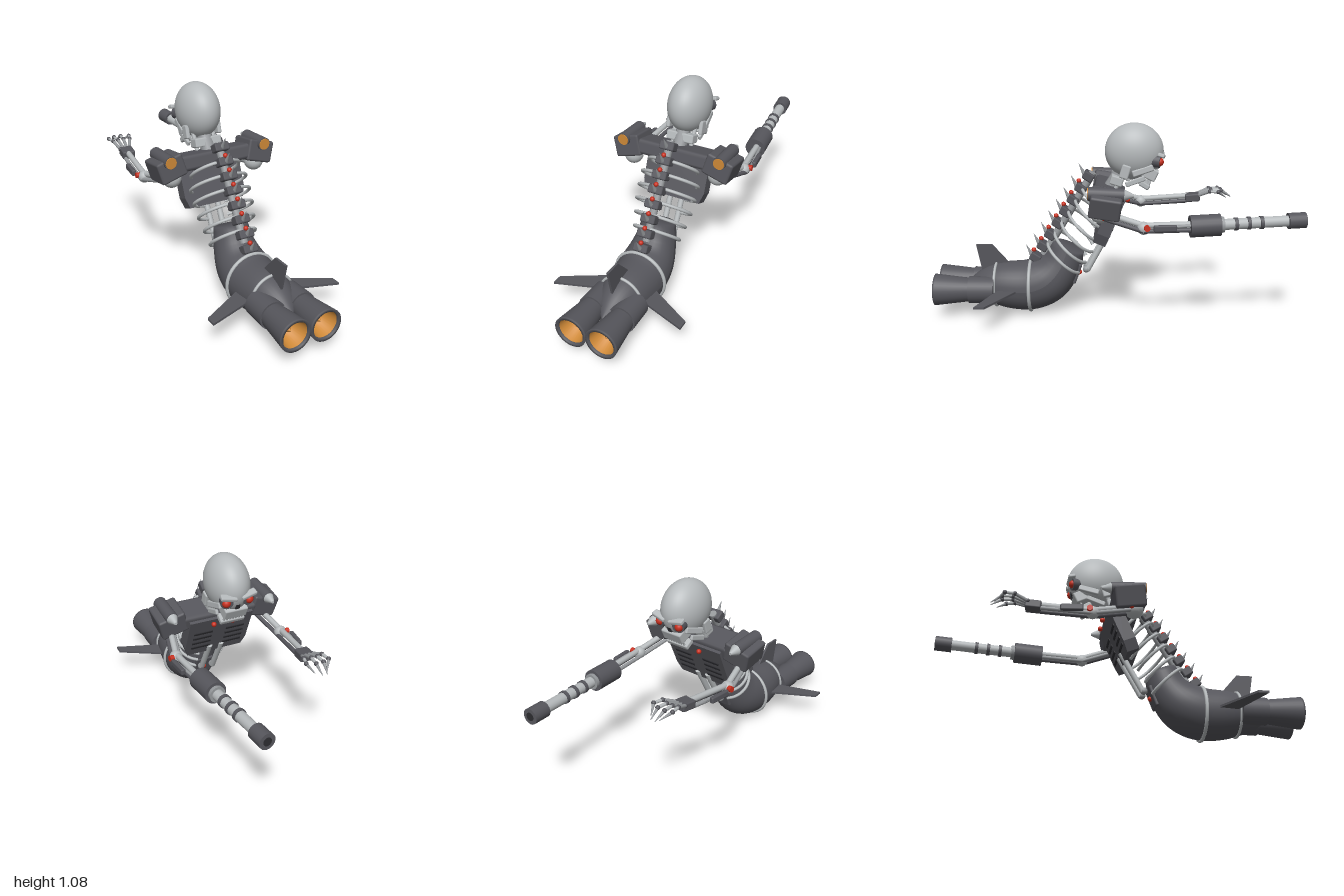
import * as THREE from 'three';
import { RoundedBoxGeometry } from 'three/addons/geometries/RoundedBoxGeometry.js';

const mat = (name, color, side = THREE.FrontSide) => {
  const m = new THREE.MeshStandardMaterial({ color, side });
  m.name = name;
  return m;
};
const V = (x, y, z) => new THREE.Vector3(x, y, z);

export function createModel() {
  const dark = mat('dark armour', 0x56565c, THREE.DoubleSide);
  const bone = mat('light metal', 0xb6babc);
  const steel = mat('steel', 0x96999c);
  const black = mat('black recess', 0x2c2c30);
  const red = mat('red light', 0xc8301f);
  const orange = mat('orange glow', 0xd08a38, THREE.DoubleSide);
  const model = new THREE.Group();
  model.name = 'flyingSkeletonRobot';

  const add = (parent, name, geo, m, pos = [0, 0, 0], rot = [0, 0, 0]) => {
    const mesh = new THREE.Mesh(geo, m);
    mesh.name = name;
    mesh.position.set(...pos);
    mesh.rotation.set(...rot);
    parent.add(mesh);
    return mesh;
  };
  const box = (p, name, m, w, h, d, pos, rot, r = 0.008) =>
    add(p, name, new RoundedBoxGeometry(w, h, d, 1, Math.min(r, w / 3, h / 3, d / 3)), m, pos, rot);
  const ball = (p, name, m, r, pos) => add(p, name, new THREE.SphereGeometry(r, 20, 14), m, pos);
  // Tapered rod between two points, r1 at the start and r2 at the end
  const rod = (p, name, m, a, b, r1, r2 = r1, seg = 12) => {
    const dir = b.clone().sub(a);
    const mesh = add(p, name, new THREE.CylinderGeometry(r2, r1, dir.length(), seg), m);
    mesh.position.copy(a).addScaledVector(dir, 0.5);
    mesh.quaternion.setFromUnitVectors(V(0, 1, 0), dir.normalize());
    return mesh;
  };
  const tube = (p, name, m, pts, r, n = 32) =>
    add(p, name, new THREE.TubeGeometry(new THREE.CatmullRomCurve3(pts), n, r, 8), m);

  // Lower body: round sections swept along a bent spine, x holds the radius
  const path = new THREE.CatmullRomCurve3([
    V(0.092, 0.39, 0.26), V(0.115, 0.28, 0.305), V(0.138, 0.2, 0.38), V(0.143, 0.162, 0.48),
    V(0.122, 0.165, 0.66), V(0.07, 0.16, 0.78), V(0.004, 0.16, 0.85)]);
  const rows = 36, seg = 32, pos = [], idx = [];
  for (let i = -1; i <= rows; i++) {
    const t = Math.max(i, 0) / rows, c = path.getPoint(t), d = path.getTangent(t);
    const len = Math.hypot(d.y, d.z), ny = d.z / len, nz = -d.y / len;
    const r = i < 0 ? 0 : c.x;
    for (let j = 0; j <= seg; j++) {
      const a = (j / seg) * Math.PI * 2, s = Math.sin(a) * r;
      pos.push(Math.cos(a) * r, c.y + ny * s, c.z + nz * s);
    }
  }
  for (let i = 0; i <= rows; i++) for (let j = 0; j < seg; j++) {
    const a = i * (seg + 1) + j, d = a + seg + 1;
    idx.push(a, a + 1, d, a + 1, d + 1, d);
  }
  const bodyGeo = new THREE.BufferGeometry();
  bodyGeo.setAttribute('position', new THREE.Float32BufferAttribute(pos, 3));
  bodyGeo.setIndex(idx);
  bodyGeo.computeVertexNormals();
  add(model, 'lowerBody', bodyGeo, dark);
  add(model, 'hipRing', new THREE.TorusGeometry(0.146, 0.01, 8, 48), bone, [0, 0.162, 0.475]);
  add(model, 'tailRing', new THREE.TorusGeometry(0.122, 0.008, 8, 48), bone, [0, 0.165, 0.67]);

  // Belly block with its light and the two struts up to the chest
  box(model, 'bellyBlock', dark, 0.11, 0.12, 0.05, [0, 0.245, 0.225], [-0.35, 0, 0]);
  ball(model, 'bellyLight', red, 0.014, [0, 0.236, 0.2]);
  for (const s of [-1, 1]) {
    rod(model, 'bellyStrut', bone, V(s * 0.035, 0.26, 0.155), V(s * 0.035, 0.48, 0.035), 0.016);
    ball(model, 'strutFoot', steel, 0.02, [s * 0.035, 0.265, 0.16]);
  }

  // Twin thrusters and side fins
  const finShape = (pts) => new THREE.Shape(pts.map(([x, y]) => new THREE.Vector2(x, y)));
  const plate = (pts, depth) => new THREE.ExtrudeGeometry(finShape(pts), { depth, bevelEnabled: false }).translate(0, 0, -depth / 2);
  for (const s of [-1, 1]) {
    const g = new THREE.Group();
    g.name = 'thruster';
    g.position.set(s * 0.087, 0.16, 0);
    g.rotation.x = Math.PI / 2;
    model.add(g);
    const lathe = (pts) => new THREE.LatheGeometry(pts.map(([r, y]) => new THREE.Vector2(r, y)), 32);
    add(g, 'thrusterHousing', new THREE.CylinderGeometry(0.075, 0.072, 0.14, 32), dark, [0, 0.74, 0]);
    add(g, 'nozzle', lathe([[0.066, 0.81], [0.068, 0.83], [0.087, 0.99], [0.088, 1], [0.073, 1], [0.072, 0.985]]), dark);
    add(g, 'nozzleGlow', lathe([[0.073, 0.99], [0.046, 0.89], [0, 0.89]]), orange);
    add(g, 'nozzleCone', new THREE.ConeGeometry(0.042, 0.07, 24), orange, [0, 0.925, 0]);
    add(model, 'sideFin', plate([[s * 0.09, 0.52], [s * 0.375, 0.68], [s * 0.375, 0.735], [s * 0.09, 0.64]], 0.012), dark, [0, 0.16, 0], [Math.PI / 2, 0, 0]);
  }
  add(model, 'topFin', plate([[-0.58, 0.27], [-0.69, 0.397], [-0.78, 0.397], [-0.75, 0.24]], 0.012), dark, [0, 0, 0], [0, Math.PI / 2, 0]);

  // Spine: vertebra blocks, red lights and raked spikes
  rod(model, 'spineCore', steel, V(0, 0.81, 0.12), V(0, 0.34, 0.4), 0.022);
  for (let i = 0; i < 8; i++) {
    const y = 0.79 - i * 0.066, z = 0.145 + i * 0.043;
    box(model, 'vertebra', dark, 0.085, 0.046, 0.06, [0, y, z], [-0.57, 0, 0]);
    rod(model, 'spineSpike', steel, V(0, y + 0.005, z + 0.02), V(0, y + 0.068, z + 0.052), 0.013, 0.001, 8);
    if (i < 7) ball(model, 'spineLight', red, 0.013, [0, y - 0.027, z + 0.053]);
  }

  // Ribs: sloping open hoops
  [0.14, 0.165, 0.165, 0.16, 0.145, 0.13].forEach((w, i) => {
    const y0 = 0.725 - i * 0.064, z0 = 0.18 + i * 0.039, pts = [];
    for (let k = -10; k <= 10; k++) {
      const a = (k / 10) * 2.75, f = (1 - Math.cos(a)) * 0.105;
      pts.push(V(Math.sin(a) * w, y0 - f * 0.78, z0 - f * 0.85));
    }
    tube(model, 'rib', bone, pts, 0.009, 40);
  });

  // Chest plate with vents, collar bar and lights
  const chest = new THREE.Group();
  chest.name = 'chest';
  chest.position.set(0, 0.575, 0.03);
  chest.rotation.x = -0.4;
  model.add(chest);
  add(chest, 'chestPlate', plate([[-0.165, -0.14], [0.165, -0.14], [0.185, -0.08], [0.185, 0.14], [-0.185, 0.14], [-0.185, -0.08]], 0.07), dark);
  for (const s of [-1, 1]) {
    for (let i = 0; i < 4; i++) box(chest, 'vent', black, 0.11, 0.016, 0.008, [s * 0.095, 0.04 - i * 0.04, -0.036]);
    ball(chest, 'chestLight', red, 0.014, [s * 0.055, 0.125, -0.055]);
  }
  box(model, 'collarBar', dark, 0.44, 0.085, 0.16, [0, 0.702, 0.04], [-0.25, 0, 0], 0.02);
  box(model, 'neckBlock', bone, 0.16, 0.05, 0.07, [0, 0.775, -0.01], [-0.3, 0, 0]);
  rod(model, 'neck', steel, V(0, 0.7, 0.04), V(0, 0.84, -0.05), 0.04);
  for (const s of [-1, 1]) rod(model, 'neckPiston', bone, V(s * 0.055, 0.72, 0.0), V(s * 0.06, 0.85, -0.06), 0.012);

  // Skull, brow, eyes, jaws and teeth
  const skull = add(model, 'skull', new THREE.SphereGeometry(1, 40, 28), bone, [0, 0.928, -0.105]);
  skull.scale.set(0.114, 0.154, 0.16);
  box(model, 'upperJaw', bone, 0.13, 0.065, 0.09, [0, 0.815, -0.185], [-0.45, 0, 0]);
  box(model, 'lowerJaw', bone, 0.14, 0.03, 0.06, [0, 0.75, -0.16], [-0.55, 0, 0]);
  box(model, 'noseHole', black, 0.026, 0.035, 0.012, [0, 0.85, -0.239], [-0.3, 0, 0]);
  for (let i = -3; i <= 3; i++) {
    rod(model, 'upperTooth', bone, V(i * 0.017, 0.8, -0.215), V(i * 0.017, 0.773, -0.205), 0.007, 0.005, 6);
    rod(model, 'lowerTooth', bone, V(i * 0.017, 0.75, -0.182), V(i * 0.017, 0.772, -0.192), 0.007, 0.005, 6);
  }
  for (const s of [-1, 1]) {
    box(model, 'brow', bone, 0.09, 0.022, 0.04, [s * 0.055, 0.912, -0.25], [-0.3, s * -0.15, s * 0.15]);
    rod(model, 'eyeSocket', dark, V(s * 0.05, 0.885, -0.2), V(s * 0.062, 0.88, -0.245), 0.036, 0.034, 20);
    ball(model, 'eye', red, 0.023, [s * 0.064, 0.879, -0.24]);
    box(model, 'cheek', bone, 0.022, 0.035, 0.12, [s * 0.088, 0.835, -0.15], [0.3, s * 0.15, 0]);
    box(model, 'jawHinge', bone, 0.024, 0.075, 0.05, [s * 0.097, 0.83, -0.055], [-0.3, 0, 0]);
    box(model, 'jawArm', bone, 0.018, 0.028, 0.11, [s * 0.078, 0.775, -0.11], [0.35, 0, 0]);
  }

  // Shoulders and arms
  for (const s of [-1, 1]) {
    const name = s > 0 ? 'leftArm' : 'rightArm';
    const arm = new THREE.Group();
    arm.name = name;
    model.add(arm);
    box(arm, 'shoulderPad', dark, 0.155, 0.12, 0.165, [s * 0.27, 0.698, 0.045], [-0.15, 0, s * -0.27], 0.012);
    rod(arm, 'shoulderJet', dark, V(s * 0.285, 0.752, 0.135), V(s * 0.285, 0.745, -0.05), 0.036, 0.034, 20);
    rod(arm, 'shoulderJetGlow', orange, V(s * 0.285, 0.752, 0.134), V(s * 0.285, 0.752, 0.139), 0.031, 0.031, 20);
    rod(arm, 'shoulderJetTip', bone, V(s * 0.285, 0.745, -0.05), V(s * 0.285, 0.742, -0.1), 0.03, 0.008, 20);
    ball(arm, 'shoulderBall', bone, 0.053, [s * 0.255, 0.643, 0.075]);
    ball(arm, 'shoulderLight', red, 0.014, [s * 0.312, 0.632, 0.055]);

    const sh = V(s * 0.265, 0.635, 0.06), el = V(s * 0.31, 0.578, -0.15);
    const wr = s > 0 ? V(0.285, 0.58, -0.41) : V(-0.285, 0.602, -0.42);
    // Three parallel rods form each arm bone
    for (const [ox, oy, m, r] of [[0, 0.014, bone, 0.016], [-0.02, -0.012, steel, 0.011], [0.02, -0.012, dark, 0.012]]) {
      const o = V(ox, oy, 0);
      rod(arm, 'upperArmRod', m, sh.clone().add(o), el.clone().add(o), r);
      rod(arm, 'forearmRod', m, el.clone().add(o), wr.clone().add(o), r);
    }
    ball(arm, 'elbow', bone, 0.034, el.toArray());
    rod(arm, 'elbowLight', red, V(s * 0.33, 0.585, -0.165), V(s * 0.353, 0.586, -0.168), 0.016);
    box(arm, 'forearmGuard', dark, 0.025, 0.035, 0.12, [s * 0.342, 0.585, -0.26], [0, s * 0.1, 0]);
    rod(arm, 'forearmPiston', steel, V(s * 0.338, 0.585, -0.2), V(s * 0.305, 0.59, -0.4), 0.008);
  }

  // Cannon on the left arm
  const a = V(0.279, 0.58, -0.39), b = V(0.225, 0.602, -1);
  const along = (t) => a.clone().lerp(b, t);
  const part = (n, m, t0, t1, r) => rod(model, n, m, along(t0), along(t1), r, r, 20);
  part('cannonBody', dark, 0, 0.26, 0.058);
  part('cannonCollar', steel, 0.26, 0.29, 0.042);
  part('cannonBarrel', bone, 0.25, 0.9, 0.029);
  for (const t of [0.38, 0.49, 0.6]) part('barrelRing', dark, t, t + 0.03, 0.034);
  part('muzzle', dark, 0.845, 0.997, 0.042);
  part('muzzleBore', black, 0.99, 1, 0.022);

  // Clawed hand on the right arm
  box(model, 'palm', dark, 0.075, 0.045, 0.085, [-0.279, 0.61, -0.455], [0.1, -0.1, 0]);
  for (const [x0, x1, x2, len] of [[-0.308, -0.33, -0.292, 0.17], [-0.287, -0.292, -0.282, 0.19], [-0.267, -0.25, -0.255, 0.19], [-0.25, -0.205, -0.23, 0.16]]) {
    const k = V(x0, 0.625, -0.485), m = V((x0 + x1 * 2) / 3, 0.655, -0.485 - len * 0.4);
    const n = V(x1, 0.655, -0.485 - len * 0.7), e = V(x2, 0.618, -0.485 - len);
    rod(model, 'fingerBase', steel, k, m, 0.01, 0.009, 8);
    rod(model, 'fingerMiddle', bone, m, n, 0.009, 0.008, 8);
    rod(model, 'fingerClaw', steel, n, e, 0.009, 0.002, 8);
    for (const j of [k, m, n]) ball(model, 'knuckle', dark, 0.012, j.toArray());
  }
  return model;
}
